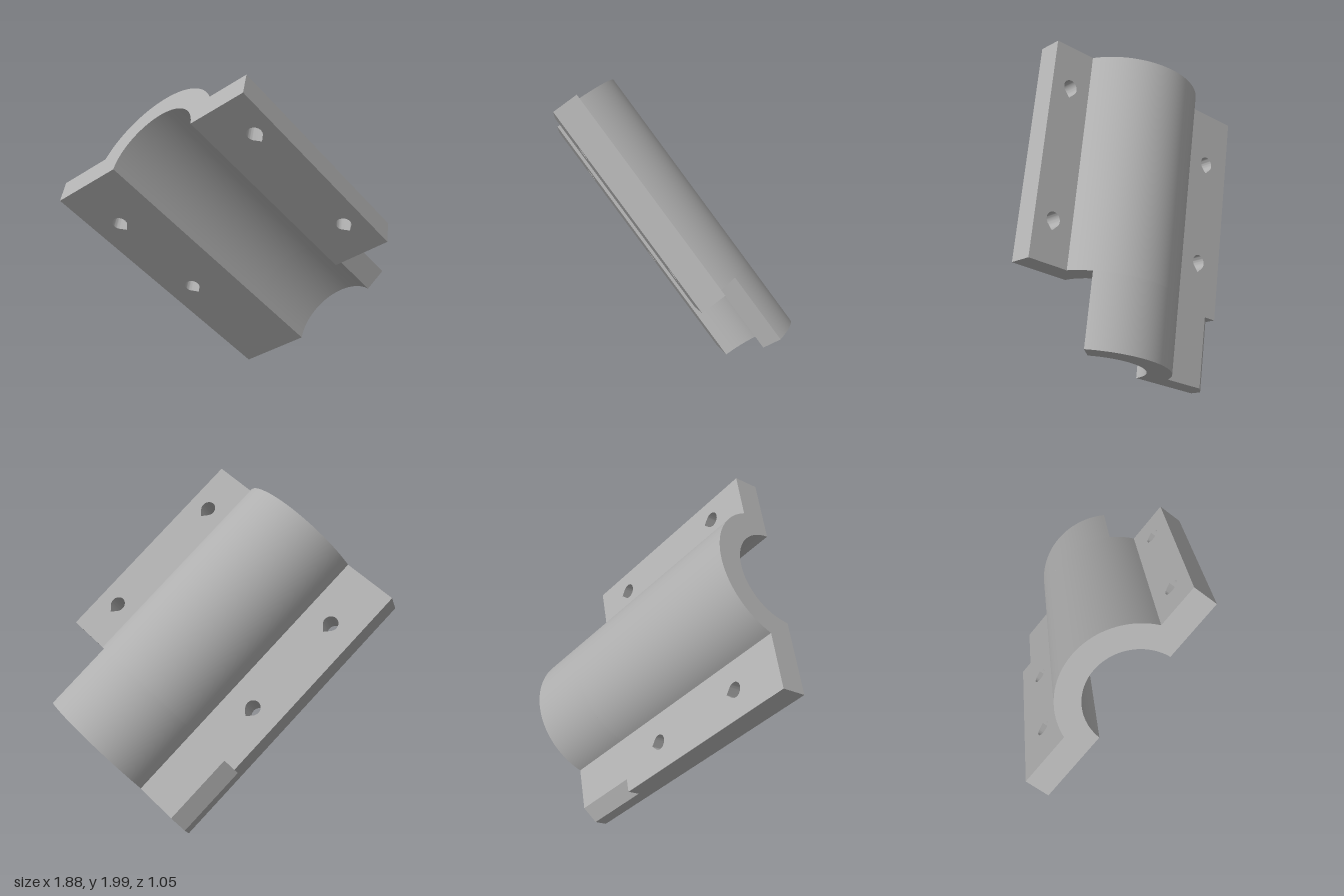
import * as THREE from 'three';
import { toCreasedNormals } from 'three/addons/utils/BufferGeometryUtils.js';

// Section coordinates: p runs along the flanges, q points out of the arched side.
const TILT = THREE.MathUtils.degToRad(43.3);
const C = Math.cos(TILT), S = Math.sin(TILT);
const CENTER = { p: 0.581, q: 0.417 };
const INNER_R = 0.29, OUTER_R = 0.432;
const Q_IN = 0.44, Q_OUT = 0.59;          // flange faces
const P_LOW = -0.146, P_HIGH = 1.231;     // flange edges
const S_START = -1.527, S_STEP = -0.24, S_END = 0.187; // stations along the axis

// World directions
const axis = new THREE.Vector3(1, -1, 0).normalize();
const across = new THREE.Vector3(1, 1, 0).normalize();
const depth = new THREE.Vector3(0, 0, 1);
const along = across.clone().multiplyScalar(C).addScaledVector(depth, S);
const outward = across.clone().multiplyScalar(S).addScaledVector(depth, -C);

const toSection = ([p, q]) => new THREE.Vector2(p * C + q * S, p * S - q * C);

function arc(radius, from, to, steps = 48) {
  const pts = [];
  for (let i = 0; i <= steps; i++) {
    const a = from + (to - from) * i / steps;
    pts.push([CENTER.p + radius * Math.cos(a), CENTER.q + radius * Math.sin(a)]);
  }
  return pts;
}

function extrude(shape, length) {
  const geo = new THREE.ExtrudeGeometry(shape, { depth: length, bevelEnabled: false, curveSegments: 16 });
  return toCreasedNormals(geo, 0.5);
}

export function createModel() {
  const group = new THREE.Group();
  const grey = new THREE.MeshStandardMaterial({ color: 0xb0b0b0 });
  grey.name = 'grey';

  const add = (name, geo, matrix) => {
    geo.applyMatrix4(matrix);
    const mesh = new THREE.Mesh(geo, grey);
    mesh.name = name;
    group.add(mesh);
  };

  // Section extruded along the axis
  const addProfile = (name, pts, s0, s1) => {
    const m = new THREE.Matrix4().makeBasis(across, depth, axis)
      .setPosition(axis.clone().multiplyScalar(s0));
    add(name, extrude(new THREE.Shape(pts.map(toSection)), s1 - s0), m);
  };

  // Flange plate with teardrop holes, extruded through its thickness
  const addFlange = (name, p0, p1, holeP, holeStations) => {
    const plate = new THREE.Shape([[p0, S_START], [p1, S_START], [p1, S_STEP], [p0, S_STEP]]
      .map(([x, y]) => new THREE.Vector2(x, y)));
    const r = 0.044;
    for (const s of holeStations) {
      const hole = new THREE.Path();
      hole.absarc(holeP, s, r, Math.PI * 0.75, Math.PI * 2.25, false);
      hole.lineTo(holeP, s + r * Math.SQRT2);
      hole.closePath();
      plate.holes.push(hole);
    }
    const m = new THREE.Matrix4().makeBasis(along, axis, outward)
      .setPosition(outward.clone().multiplyScalar(Q_IN));
    add(name, extrude(plate, Q_OUT - Q_IN), m);
  };

  const innerA = Math.asin((Q_IN - CENTER.q) / INNER_R);
  const outerA = Math.asin((Q_OUT - CENTER.q) / OUTER_R);
  const lowSeam = 0.14, highSeam = 1.02;

  // Main half pipe, with the roots of both flanges
  addProfile('halfPipe', [
    [lowSeam, Q_IN],
    ...arc(INNER_R, Math.PI - innerA, innerA),
    [highSeam, Q_IN], [highSeam, Q_OUT],
    ...arc(OUTER_R, outerA, Math.PI - outerA),
    [lowSeam, Q_OUT],
  ], S_START, S_STEP);

  // Drilled flanges
  addFlange('lowerFlange', P_LOW, lowSeam, 0.02, [-1.2, -0.56]);
  addFlange('upperFlange', highSeam, P_HIGH, 1.106, [-1.282, -0.49]);

  // Cut-back end: no upper flange, trimmed lower flange corner
  addProfile('cutBackEnd', [
    [P_LOW, Q_IN],
    ...arc(INNER_R, Math.PI - innerA, TILT),
    ...arc(OUTER_R, TILT, Math.PI - outerA),
    [-0.067, Q_OUT], [P_LOW, 0.516],
  ], S_STEP, S_END);

  return group;
}
